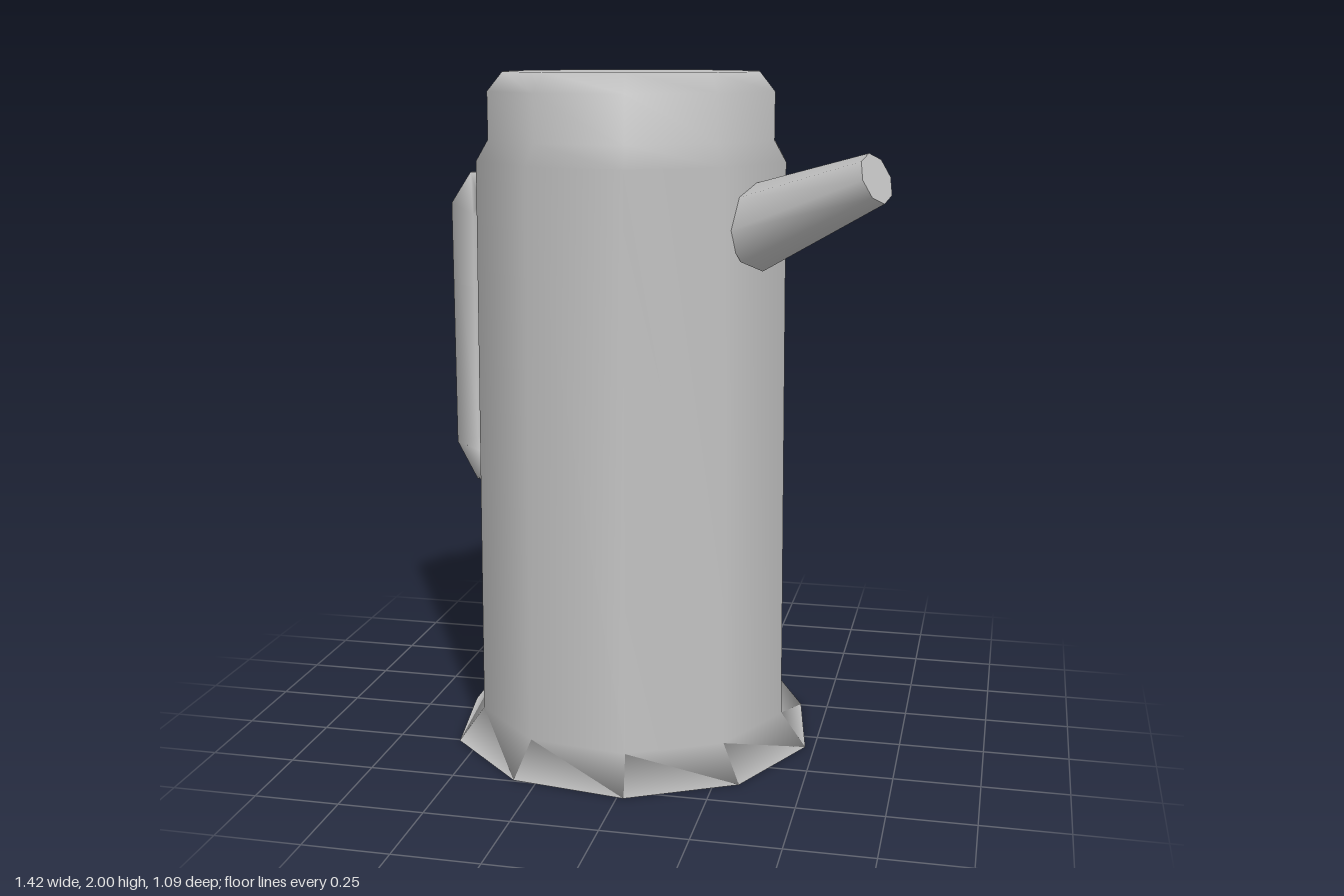
import * as THREE from 'three';

const CENTRE_X = -0.073;             // the body sits off centre, balancing the spout
const STEP = Math.PI / 5;            // ten-sided body
const FIRST = THREE.MathUtils.degToRad(8.3);

export function createModel() {
  const group = new THREE.Group();
  const metal = new THREE.MeshStandardMaterial({ color: 0xc0c0c0 });
  metal.name = 'grey metal';

  const add = (name, geometry, parent) => {
    const mesh = new THREE.Mesh(geometry, metal);
    mesh.name = name;
    parent.add(mesh);
    return mesh;
  };

  // Body: flared foot, tall wall, stepped neck and bevelled lid
  const profile = [
    [0, 0], [0.552, 0], [0.475, 0.1], [0.463, 1.75],
    [0.428, 1.81], [0.428, 1.945], [0.383, 2], [0, 2],
  ].map(([r, y]) => new THREE.Vector2(r, y));
  const body = add('body', new THREE.LatheGeometry(profile, 10, Math.PI / 2 - FIRST), group);
  body.position.x = CENTRE_X;

  // Spout and handle lie along the middle of two opposite faces
  const fittings = new THREE.Group();
  fittings.name = 'fittings';
  fittings.position.x = CENTRE_X;
  fittings.rotation.y = -(FIRST + STEP / 2);
  group.add(fittings);

  // Spout: tapered tube rising outwards
  const from = new THREE.Vector3(0.42, 1.57, 0);
  const to = new THREE.Vector3(0.825, 1.73, 0);
  const axis = to.clone().sub(from);
  const spout = add('spout', new THREE.CylinderGeometry(0.07, 0.122, axis.length(), 8), fittings);
  spout.position.copy(from).lerp(to, 0.5);
  spout.quaternion.setFromUnitVectors(new THREE.Vector3(0, 1, 0), axis.normalize());

  add('handle', handleGeometry(), fittings);
  return group;
}

// Handle: a flat strap with chamfered corners, swept as a four-cornered loop
function handleGeometry() {
  const half = 0.083;
  const outer = [[0.4, 1.69], [0.586, 1.69], [0.672, 1.59], [0.672, 0.82], [0.586, 0.71], [0.4, 0.71]];
  const inner = [[0.4, 1.6], [0.55, 1.6], [0.58, 1.56], [0.58, 0.85], [0.55, 0.8], [0.4, 0.8]];
  const positions = [], index = [];
  outer.forEach(([ro, yo], i) => {
    const [ri, yi] = inner[i];
    positions.push(-ro, yo, half, -ro, yo, -half, -ri, yi, -half, -ri, yi, half);
    if (i === 0) return;
    for (let k = 0; k < 4; k++) {
      const a = (i - 1) * 4 + k, b = (i - 1) * 4 + (k + 1) % 4;
      index.push(a, b, a + 4, b, b + 4, a + 4);
    }
  });
  const geometry = new THREE.BufferGeometry();
  geometry.setAttribute('position', new THREE.Float32BufferAttribute(positions, 3));
  geometry.setIndex(index);
  geometry.computeVertexNormals();
  return geometry;
}
